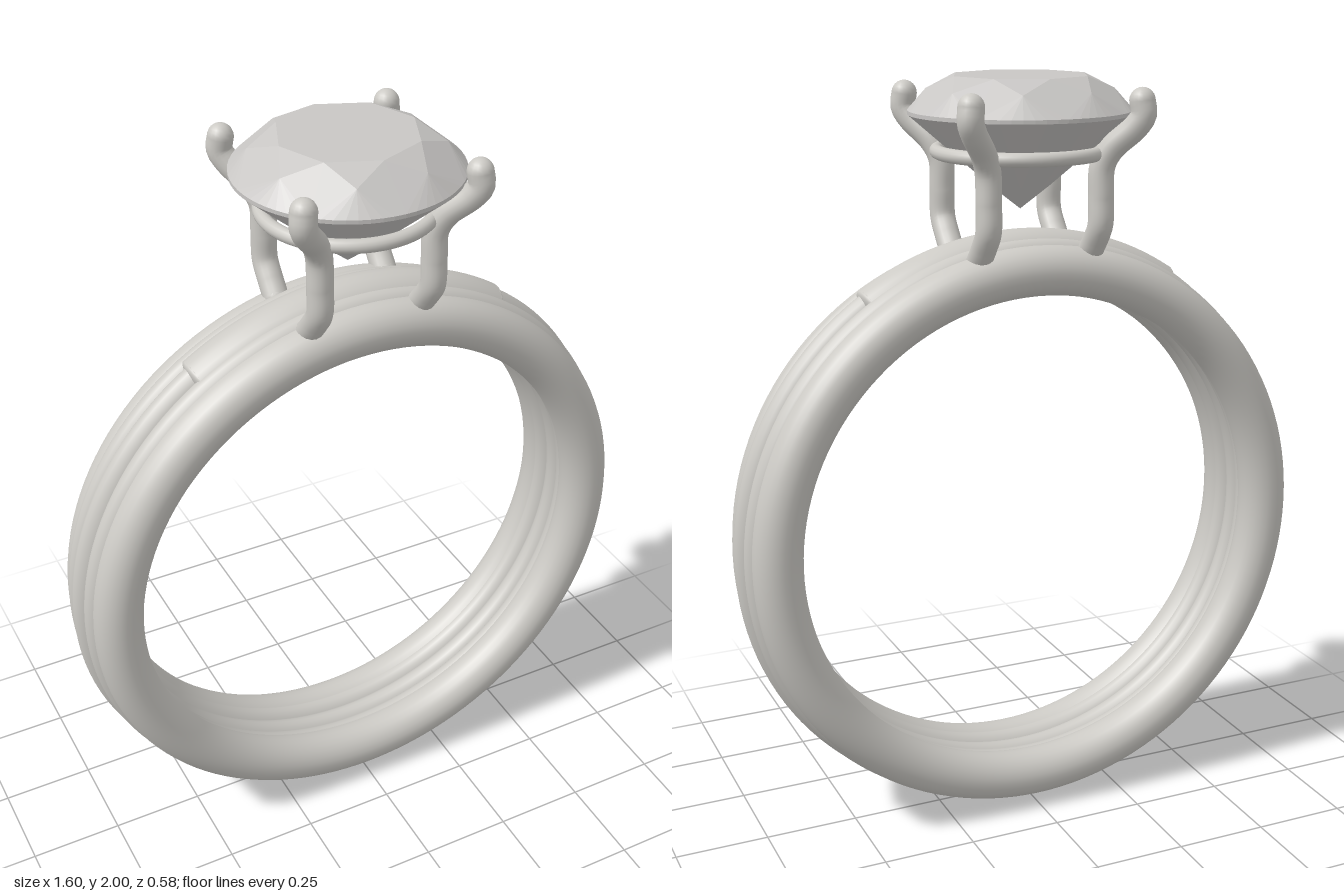
import * as THREE from 'three';

export function createModel() {
  const model = new THREE.Group();
  model.name = 'solitaireRing';
  const metal = new THREE.MeshStandardMaterial({ color: 0xcccac5 });
  metal.name = 'polishedMetal';
  const stone = new THREE.MeshStandardMaterial({ color: 0xc8c6c4 });
  stone.name = 'stone';

  const add = (parent, name, geometry, material = metal) => {
    const mesh = new THREE.Mesh(geometry, material);
    mesh.name = name;
    parent.add(mesh);
    return mesh;
  };

  // Band: five fused wires, [z, major radius, tube radius, half width]
  const band = new THREE.Group();
  band.name = 'band';
  band.position.y = 0.8;
  model.add(band);
  const wires = [
    [-0.095, 0.7125, 0.065, 0.065], [-0.058, 0.722, 0.067, 0.045],
    [0, 0.73, 0.07, 0.045],
    [0.058, 0.722, 0.067, 0.045], [0.095, 0.7125, 0.065, 0.065],
  ];
  for (const [z, major, tube, half] of wires) {
    const g = new THREE.TorusGeometry(major, tube, 24, 128);
    g.scale(1, 1, half / tube);
    g.translate(0, 0, z);
    add(band, 'bandWire', g);
  }

  // Smooth bridge over the top of the band, with rounded ends
  const arc = THREE.MathUtils.degToRad(66);
  const bridge = new THREE.TorusGeometry(0.728, 0.08, 24, 40, arc);
  bridge.rotateZ(Math.PI / 2 - arc / 2);
  add(band, 'bridge', bridge);
  for (const side of [-1, 1]) {
    const end = add(band, 'bridgeEnd', new THREE.SphereGeometry(0.08, 24, 16));
    const a = side * arc / 2;
    end.position.set(Math.sin(a) * 0.728, Math.cos(a) * 0.728, 0);
    end.rotation.z = -a;
    end.scale.x = 0.3;
  }

  // Four prongs with rounded tips
  const setting = new THREE.Group();
  setting.name = 'setting';
  model.add(setting);
  const path = [
    [0.155, 1.55, 0.095], [0.155, 1.585, 0.125], [0.155, 1.63, 0.155], [0.155, 1.7, 0.157],
    [0.157, 1.78, 0.158], [0.175, 1.825, 0.175], [0.218, 1.88, 0.218],
    [0.232, 1.91, 0.232], [0.229, 1.945, 0.229],
  ];
  for (const sx of [-1, 1]) for (const sz of [-1, 1]) {
    const points = path.map(([x, y, z]) => new THREE.Vector3(sx * x, y, sz * z));
    const curve = new THREE.CatmullRomCurve3(points);
    add(setting, 'prong', new THREE.TubeGeometry(curve, 40, 0.033, 16));
    for (const p of [points[0], points[points.length - 1]]) {
      add(setting, 'prongTip', new THREE.SphereGeometry(0.033, 16, 12)).position.copy(p);
    }
  }

  // Thin gallery ring joining the prongs
  const gallery = add(setting, 'galleryRing', new THREE.TorusGeometry(0.215, 0.018, 14, 64));
  gallery.rotation.x = Math.PI / 2;
  gallery.position.y = 1.81;

  add(model, 'gem', gemGeometry(), stone);
  return model;
}

// Round brilliant cut with separate flat facets
function gemGeometry() {
  const R = 0.288, tableR = 0.18, topY = 2, upper = 1.913, lower = 1.903, culetY = 1.66;
  const step = Math.PI / 4, half = step / 2, n = 8;
  const at = (r, a, y) => [r * Math.sin(a), y, r * Math.cos(a)];
  const crownSlope = (topY - upper) / (R - tableR);
  const pavSlope = (lower - culetY) / R;
  const crownR = 0.24, pavR = 0.075;
  const crownY = topY - crownSlope * (crownR * Math.cos(half) - tableR);
  const pavY = culetY + pavSlope * pavR * Math.cos(half);
  const pos = [];
  const tri = (...corners) => corners.forEach((c) => pos.push(...c));
  const centre = [0, topY, 0], culet = [0, culetY, 0];

  for (let k = 0; k < 8; k++) {
    const a = k * step, b = a + step, m = a + half;
    const t0 = at(tableR, a, topY), t1 = at(tableR, b, topY);
    const mid = at(crownR, m, crownY), prev = at(crownR, a - half, crownY);
    const low = at(pavR, m, pavY), lowPrev = at(pavR, a - half, pavY);
    tri(centre, t0, t1); // table
    tri(t0, mid, t1); // star facet
    tri(t0, prev, at(R, a, upper)); // kite facet
    tri(t0, at(R, a, upper), mid);
    tri(culet, at(R, a, lower), lowPrev); // pavilion main
    tri(culet, low, at(R, a, lower));
    for (let i = 0; i < n; i++) {
      const u = a + step * i / n, v = a + step * (i + 1) / n;
      const u1 = at(R, u, upper), v1 = at(R, v, upper);
      const u0 = at(R, u, lower), v0 = at(R, v, lower);
      tri(mid, u1, v1); // crown half facets
      tri(u1, u0, v0); // girdle
      tri(u1, v0, v1);
      tri(low, v0, u0); // pavilion half facets
    }
  }
  const g = new THREE.BufferGeometry();
  g.setAttribute('position', new THREE.Float32BufferAttribute(pos, 3));
  g.computeVertexNormals();
  return g;
}
